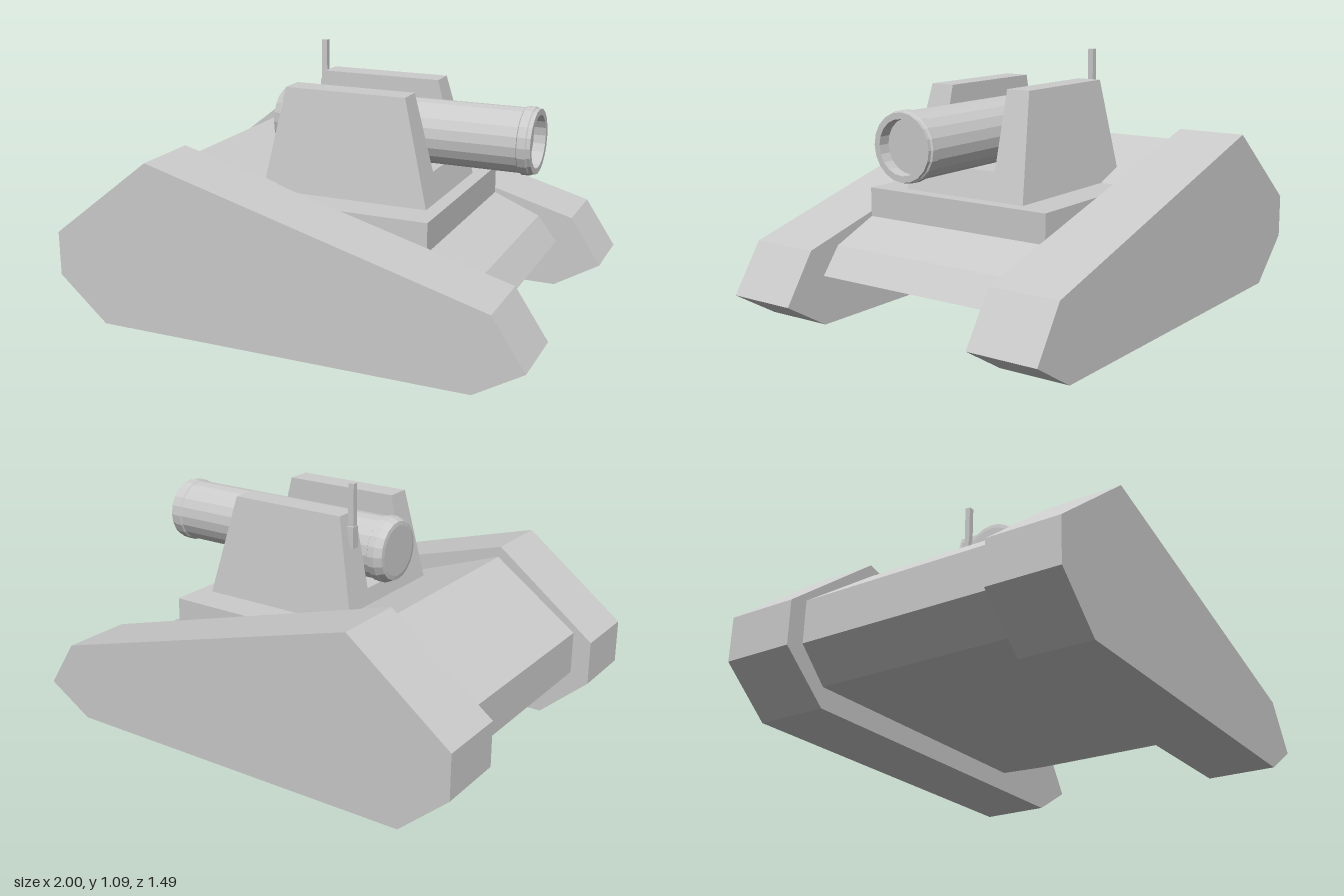
import * as THREE from 'three';

const material = new THREE.MeshStandardMaterial({ color: 0xcccccc, flatShading: true, side: THREE.DoubleSide });

// Side profile (x, y) extruded between two z values
function profile(points, depth) {
  const shape = new THREE.Shape(points.map(([x, y]) => new THREE.Vector2(x, y)));
  return new THREE.ExtrudeGeometry(shape, { depth, bevelEnabled: false });
}

export function createModel() {
  const group = new THREE.Group();
  const add = (name, geometry, x = 0, y = 0, z = 0) => {
    const mesh = new THREE.Mesh(geometry, material);
    mesh.name = name;
    mesh.position.set(x, y, z);
    group.add(mesh);
    return mesh;
  };

  // Track housings on both sides
  const track = profile([
    [-1, 0.185], [-0.79, 0], [0.8, 0], [1, 0.12], [0.865, 0.323], [-0.56, 0.717], [-1, 0.372],
  ], 0.303);
  add('frontTrack', track, 0, 0, 0.442);
  add('rearTrack', track, 0, 0, -0.745);

  // Hull with the stepped deck under the turret
  const hull = profile([
    [-0.92, 0.22], [-0.79, 0.087], [0.47, 0.087], [0.8, 0.205], [0.715, 0.315], [0.51, 0.4],
    [0.51, 0.523], [-0.13, 0.523], [-0.55, 0.67], [-0.92, 0.4],
  ], 0.884);
  add('hull', hull, 0, 0, -0.442);

  // Turret cradle: U section swept along x, its ends leaning inwards with height
  const yLow = 0.5, yHigh = 0.957;
  const cradle = profile([
    [-0.297, yLow], [0.297, yLow], [0.245, yHigh], [0.138, yHigh],
    [0.138, 0.637], [-0.138, 0.637], [-0.138, yHigh], [-0.245, yHigh],
  ], 1);
  cradle.rotateY(Math.PI / 2);
  const pos = cradle.attributes.position;
  for (let i = 0; i < pos.count; i++) {
    const t = (pos.getY(i) - yLow) / (yHigh - yLow);
    const back = THREE.MathUtils.lerp(-0.283, -0.19, t);
    const front = THREE.MathUtils.lerp(0.455, 0.335, t);
    pos.setX(i, THREE.MathUtils.lerp(back, front, pos.getX(i)));
  }
  cradle.computeVertexNormals();
  add('turretCradle', cradle);

  // Barrel with breech ring, muzzle ring and recessed bore
  const barrel = new THREE.LatheGeometry([
    [0, -0.315], [0.108, -0.315], [0.125, -0.312], [0.138, -0.283], [0.14, -0.28], [0.14, -0.25],
    [0.133, -0.245], [0.133, 0.757], [0.139, 0.762], [0.139, 0.795], [0.133, 0.8], [0.133, 0.815],
    [0.108, 0.815], [0.108, 0.765], [0, 0.765],
  ].map(([r, x]) => new THREE.Vector2(r, x)), 20);
  barrel.rotateZ(-Math.PI / 2);
  add('barrel', barrel, 0, 0.772, 0);

  // Aerial on the back edge of the cradle
  add('aerial', new THREE.BoxGeometry(0.026, 0.265, 0.024), -0.214, 0.9525, -0.19);
  add('aerialBase', new THREE.BoxGeometry(0.036, 0.09, 0.034), -0.214, 0.865, -0.195);

  return group;
}
